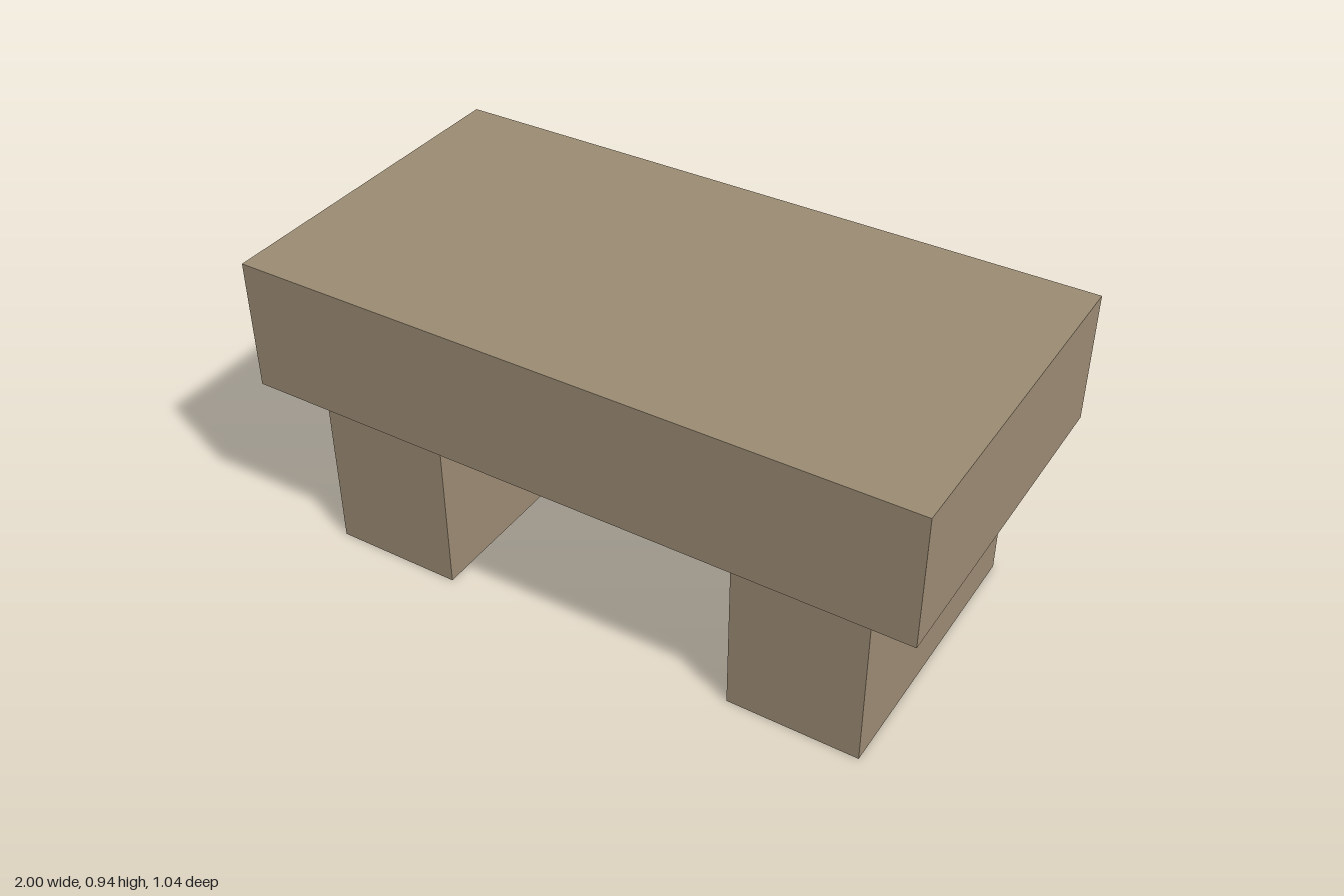
import * as THREE from 'three';

const SEAT_BOTTOM = 0.545;
const SEAT_HEIGHT = 0.392;

export function createModel() {
  const bench = new THREE.Group();
  bench.name = 'bench';

  const stone = new THREE.MeshStandardMaterial({ color: 0x9b8b73 });
  stone.name = 'warm stone';

  function addBlock(name, width, height, depth, x, bottom) {
    const mesh = new THREE.Mesh(new THREE.BoxGeometry(width, height, depth), stone);
    mesh.name = name;
    mesh.position.set(x, bottom + height / 2, 0);
    bench.add(mesh);
  }

  // Thick slab seat
  addBlock('seat', 2, SEAT_HEIGHT, 1.044, 0, SEAT_BOTTOM);

  // Two block legs, mirrored across the middle
  for (const [name, side] of [['leftLeg', 1], ['rightLeg', -1]]) {
    addBlock(name, 0.392, SEAT_BOTTOM, 0.87, side * 0.651, 0);
  }

  return bench;
}
